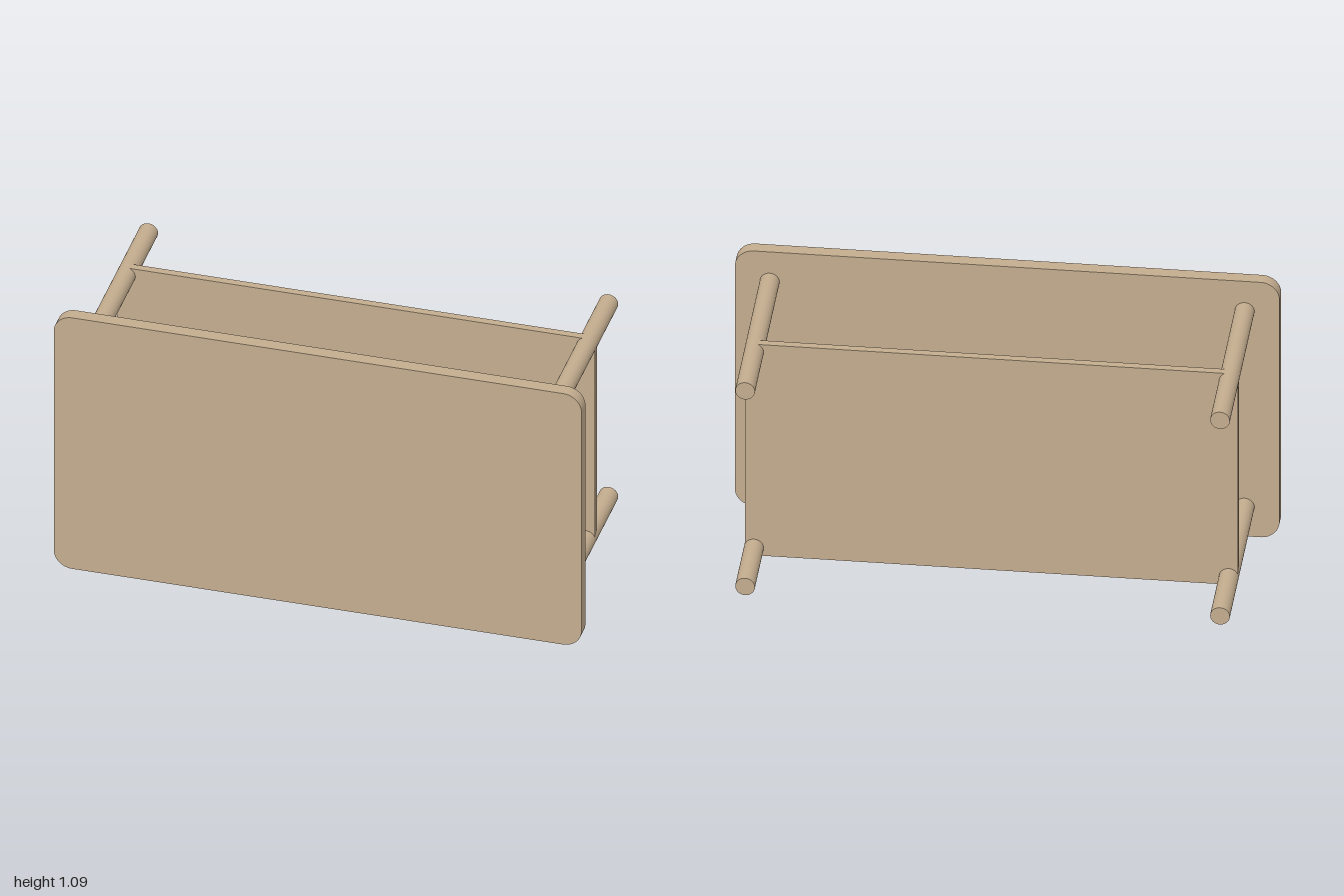
import * as THREE from 'three';

const MID_Y = 0.546;

// Upright board with rounded corners, from z0 to z1
function board(name, halfW, halfH, r, z0, z1, material) {
  const s = new THREE.Shape();
  s.moveTo(-halfW + r, -halfH);
  s.lineTo(halfW - r, -halfH);
  s.absarc(halfW - r, -halfH + r, r, -Math.PI / 2, 0);
  s.lineTo(halfW, halfH - r);
  s.absarc(halfW - r, halfH - r, r, 0, Math.PI / 2);
  s.lineTo(-halfW + r, halfH);
  s.absarc(-halfW + r, halfH - r, r, Math.PI / 2, Math.PI);
  s.lineTo(-halfW, -halfH + r);
  s.absarc(-halfW + r, -halfH + r, r, Math.PI, Math.PI * 1.5);
  const geometry = new THREE.ExtrudeGeometry(s, { depth: z1 - z0, bevelEnabled: false, curveSegments: 12 });
  const mesh = new THREE.Mesh(geometry, material);
  mesh.name = name;
  mesh.position.set(0, MID_Y, z0);
  return mesh;
}

export function createModel() {
  const group = new THREE.Group();
  group.name = 'coffeeTable';
  const wood = new THREE.MeshStandardMaterial({ color: 0xc4ad8f });
  wood.name = 'lightWood';

  // Table top faces the front; the legs point backwards
  group.add(board('tableTop', 1, 0.546, 0.07, 0.357, 0.409, wood));

  // Shelf whose rounded corners end inside the legs
  group.add(board('shelf', 0.905, 0.452, 0.042, -0.135, -0.105, wood));

  // Four round legs
  const legGeometry = new THREE.CylinderGeometry(0.036, 0.036, 0.776, 32).rotateX(Math.PI / 2);
  for (const sx of [-1, 1]) {
    for (const sy of [-1, 1]) {
      const leg = new THREE.Mesh(legGeometry, wood);
      leg.name = `${sy > 0 ? 'upper' : 'lower'}${sx > 0 ? 'Left' : 'Right'}Leg`;
      leg.position.set(sx * 0.872, MID_Y + sy * 0.419, -0.021);
      group.add(leg);
    }
  }
  return group;
}
